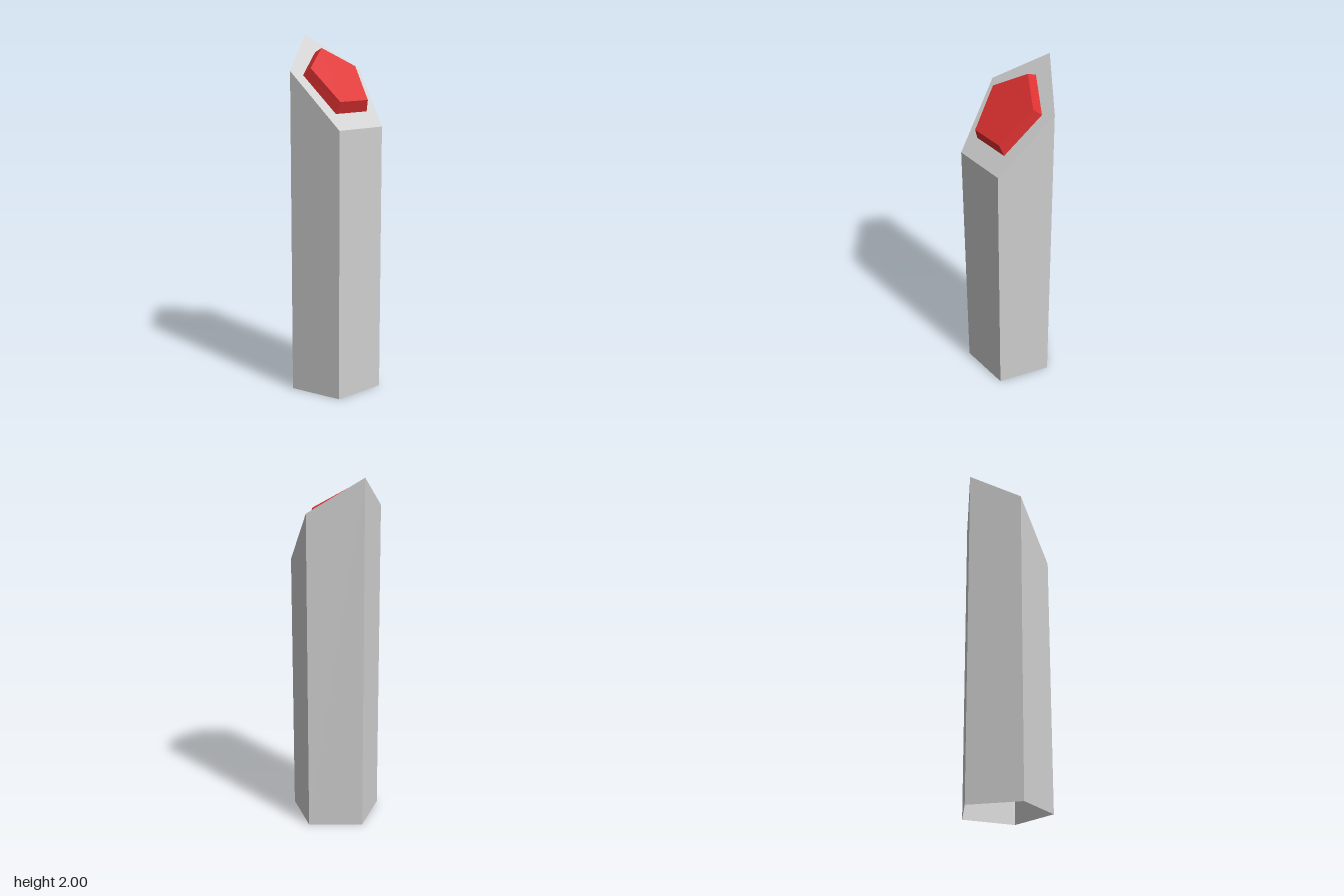
import * as THREE from 'three';

const grey = new THREE.MeshStandardMaterial({ color: 0xcfcfcf, side: THREE.DoubleSide });
const red = new THREE.MeshStandardMaterial({ color: 0xdd3131 });

// Height of the slanted top plane at depth z
const slant = (z) => 2 - 1.03 * (z + 0.238);

// Mirrored pentagon loop, back point first, counter-clockwise from above
function pentagon(backZ, sideX, sideZ, frontX, frontZ, height) {
  return [[0, backZ], [-sideX, sideZ], [-frontX, frontZ], [frontX, frontZ], [sideX, sideZ]]
    .map(([x, z]) => new THREE.Vector3(x, height(z), z));
}

function flatGeometry(points) {
  const geometry = new THREE.BufferGeometry().setFromPoints(points);
  geometry.computeVertexNormals();
  return geometry;
}

// Quads joining a lower loop to an upper loop
function walls(lower, upper) {
  return flatGeometry(lower.flatMap((a, i) => {
    const j = (i + 1) % lower.length;
    return [a, lower[j], upper[j], a, upper[j], upper[i]];
  }));
}

// Fan that closes a loop, facing up
function cap(loop) {
  const points = [];
  for (let i = 1; i < loop.length - 1; i++) points.push(loop[0], loop[i], loop[i + 1]);
  return flatGeometry(points);
}

export function createModel() {
  const model = new THREE.Group();
  model.name = 'slantedPost';
  const add = (name, geometry, material) => {
    const mesh = new THREE.Mesh(geometry, material);
    mesh.name = name;
    model.add(mesh);
  };

  // Five-sided post, open at the bottom, cut at a slant on top
  const post = [-0.238, 0.25, -0.057, 0.155, 0.238];
  const rim = pentagon(...post, slant);
  add('postWalls', walls(pentagon(...post, () => 0), rim), grey);
  add('postTop', cap(rim), grey);

  // Raised, slightly tapered button on the slanted top
  const buttonBase = pentagon(-0.146, 0.179, -0.034, 0.112, 0.16, slant);
  const buttonRim = pentagon(-0.09, 0.162, 0.01, 0.1, 0.182, (z) => 1.93 - 1.012 * (z + 0.09));
  add('buttonSides', walls(buttonBase, buttonRim), red);
  add('buttonFace', cap(buttonRim), red);

  return model;
}
